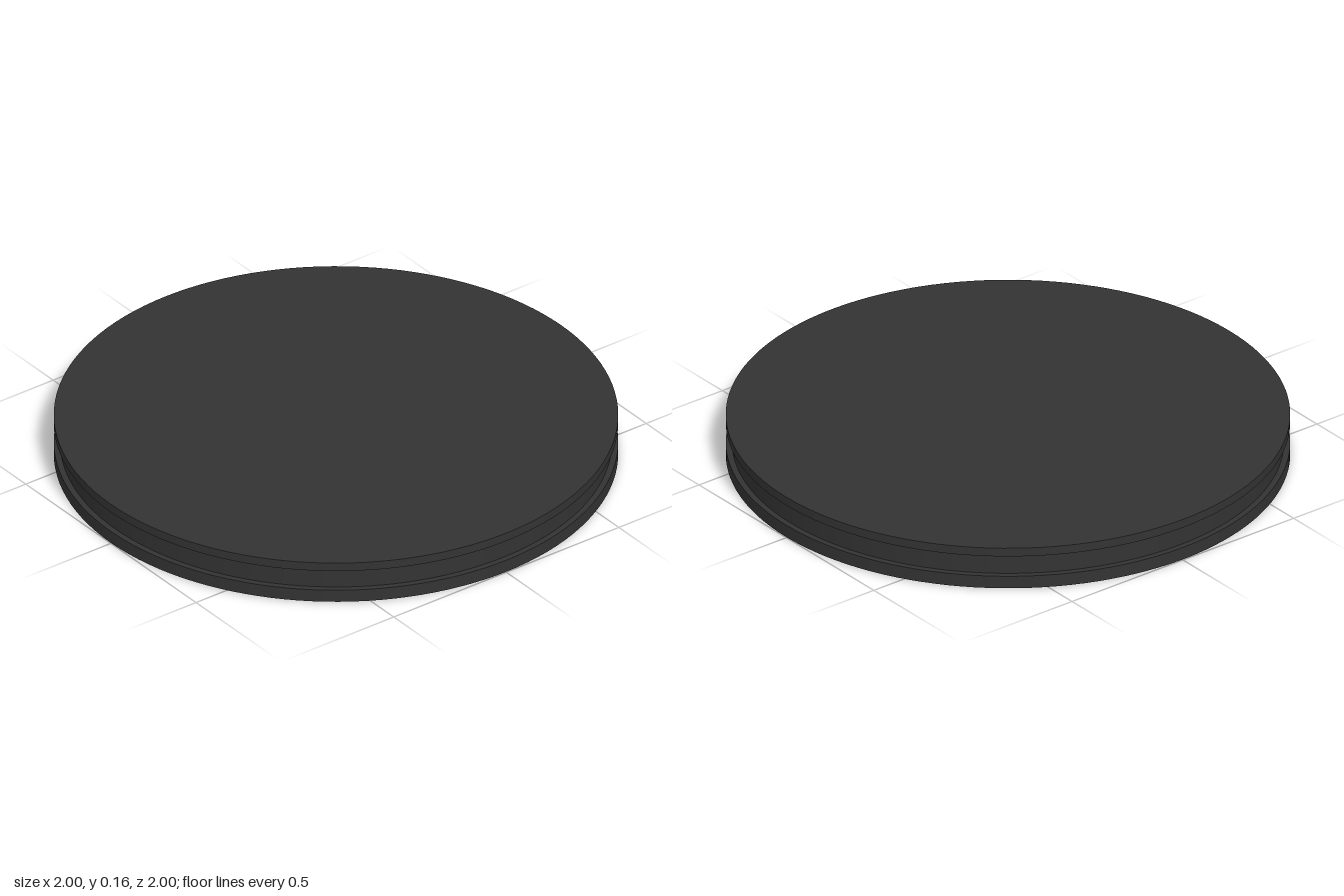
import * as THREE from 'three';

export function createModel() {
  const group = new THREE.Group();
  const dark = new THREE.MeshStandardMaterial({ color: 0x333333 });
  const grey = new THREE.MeshStandardMaterial({ color: 0x666666 });
  const sides = 128;

  // A disc between two heights
  function disc(name, radius, y0, y1) {
    const mesh = new THREE.Mesh(new THREE.CylinderGeometry(radius, radius, y1 - y0, sides), dark);
    mesh.position.y = (y0 + y1) / 2;
    mesh.name = name;
    group.add(mesh);
  }

  disc('topPlate', 1, 0.13, 0.163);
  disc('grooveCore', 0.978, 0.04, 0.14);
  disc('bottomPlate', 1, 0.002, 0.05);

  // Lighter pad on the underside, inset from the rim
  const pad = new THREE.Mesh(new THREE.CircleGeometry(0.97, sides), grey);
  pad.rotation.x = Math.PI / 2;
  pad.name = 'basePad';
  group.add(pad);

  return group;
}
